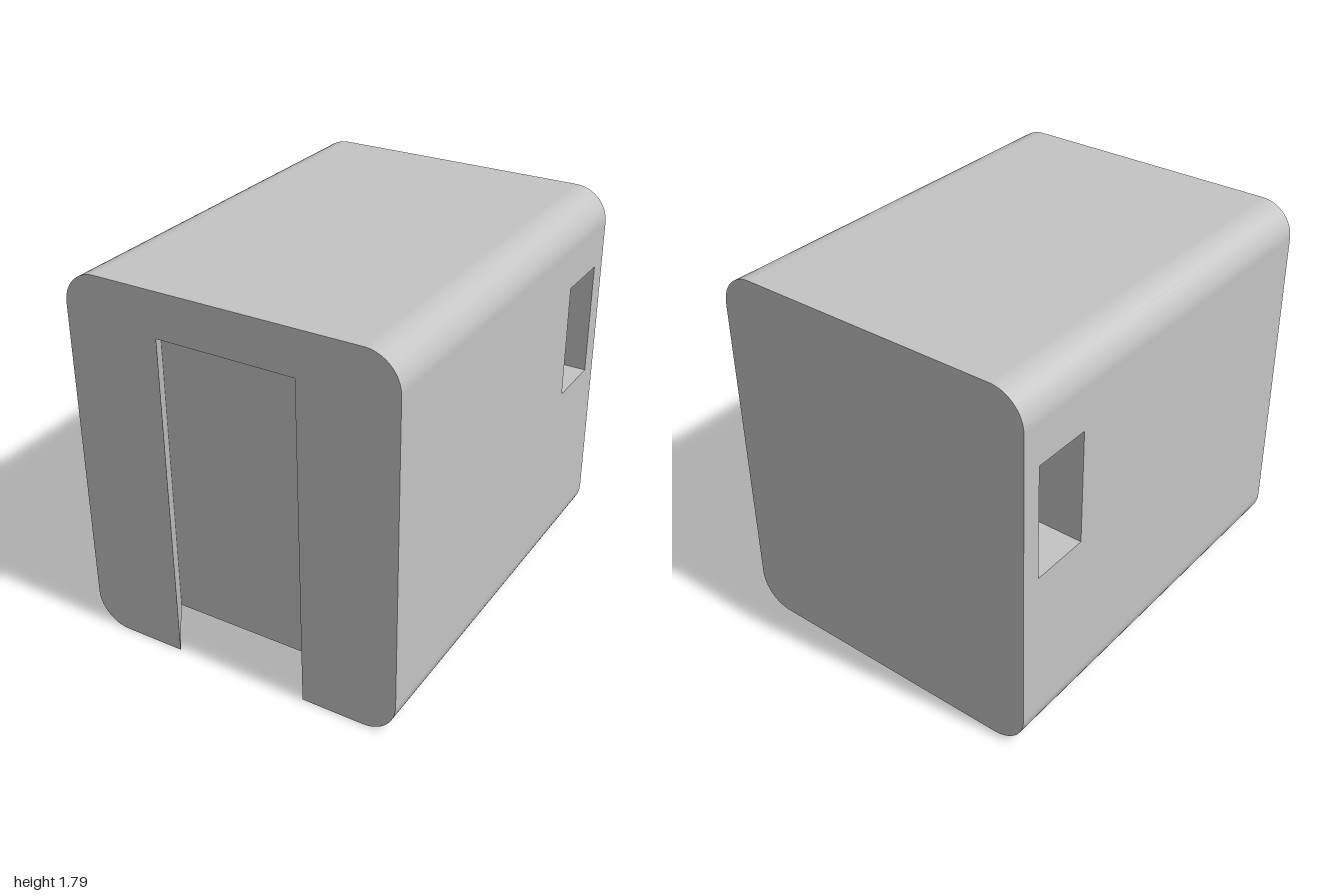
import * as THREE from 'three';

const W = 0.79, H = 1.79, L = 1, R = 0.16;                       // half width, height, half length, corner radius
const SLOT = { mouth: 0.33, inner: 0.53, depth: 0.27, top: 1.58 }; // dovetail slot in the front
const POCKET = { z0: -0.905, z1: -0.615, y0: 0.885, y1: 1.435, depth: 0.3 };

const X = [1, 0, 0], Y = [0, 1, 0], Z = [0, 0, 1];
const neg = (v) => v.map((n) => -n);

const poly = (pts) => new THREE.Shape(pts.map(([x, y]) => new THREE.Vector2(x, y)));
const rect = (x0, y0, x1, y1) => poly([[x0, y0], [x1, y0], [x1, y1], [x0, y1]]);

// End outline with rounded corners, optionally notched by the slot
function endShape(notched) {
  const s = new THREE.Shape();
  s.moveTo(-W + R, 0);
  if (notched) {
    s.lineTo(-SLOT.mouth, 0);
    s.lineTo(-SLOT.mouth, SLOT.top);
    s.lineTo(SLOT.mouth, SLOT.top);
    s.lineTo(SLOT.mouth, 0);
  }
  s.lineTo(W - R, 0);
  s.absarc(W - R, R, R, -Math.PI / 2, 0);
  s.absarc(W - R, H - R, R, 0, Math.PI / 2);
  s.absarc(-W + R, H - R, R, Math.PI / 2, Math.PI);
  s.absarc(-W + R, R, R, Math.PI, Math.PI * 1.5);
  return s;
}

export function createModel() {
  const grey = new THREE.MeshStandardMaterial({ color: 0xc4c4c4 });
  grey.name = 'light grey';
  const model = new THREE.Group();
  model.name = 'slottedBlock';

  // Flat panel spanned by directions u and v, facing u x v
  function panel(name, shape, origin, u, v, parent = model) {
    const a = new THREE.Vector3(...u).normalize();
    const b = new THREE.Vector3(...v).normalize();
    const m = new THREE.Matrix4().makeBasis(a, b, a.clone().cross(b)).setPosition(...origin);
    const mesh = new THREE.Mesh(new THREE.ShapeGeometry(shape, 12).applyMatrix4(m), grey);
    mesh.name = name;
    parent.add(mesh);
  }

  // Ends, top and bottom
  const { mouth, inner, depth, top } = SLOT, zi = L - depth;
  panel('frontFace', endShape(true), [0, 0, L], X, Y);
  panel('backFace', endShape(false), [0, 0, -L], neg(X), Y);
  panel('topFace', rect(-W + R, -L, W - R, L), [0, H, 0], X, neg(Z));
  panel('bottomFace', poly([[-W + R, -L], [W - R, -L], [W - R, L], [mouth, L],
    [inner, zi], [-inner, zi], [-mouth, L], [-W + R, L]]), [0, 0, 0], X, Z);

  // Rounded long edges
  for (let k = 0; k < 4; k++) {
    const geo = new THREE.CylinderGeometry(R, R, 2 * L, 12, 1, true, k * Math.PI / 2, Math.PI / 2);
    const edge = new THREE.Mesh(geo.rotateX(Math.PI / 2), grey);
    edge.position.set(k < 2 ? W - R : -W + R, k === 0 || k === 3 ? R : H - R, 0);
    edge.name = 'roundedEdge';
    model.add(edge);
  }

  // Dovetail slot, wider inside than at its mouth
  const slot = new THREE.Group();
  slot.name = 'dovetailSlot';
  model.add(slot);
  const slant = Math.hypot(inner - mouth, depth);
  panel('slotBack', rect(-inner, 0, inner, top), [0, 0, zi], X, Y, slot);
  panel('slotCeiling', poly([[-inner, zi], [inner, zi], [mouth, L], [-mouth, L]]), [0, top, 0], X, Z, slot);
  panel('slotLeftWall', rect(0, 0, slant, top), [inner, 0, zi], [mouth - inner, 0, depth], Y, slot);
  panel('slotRightWall', rect(0, 0, slant, top), [-mouth, 0, L], [mouth - inner, 0, -depth], Y, slot);

  // Sides, each with a rectangular hand pocket
  for (const s of [1, -1]) {
    const side = s > 0 ? 'left' : 'right';
    const { z0, z1, y0, y1, depth: d } = POCKET;
    const u = [0, 0, -s];
    const ua = Math.min(-s * z0, -s * z1), ub = Math.max(-s * z0, -s * z1);
    const face = rect(-L, R, L, H - R);
    face.holes.push(rect(ua, y0, ub, y1));
    panel(side + 'Side', face, [s * W, 0, 0], u, Y);

    const pocket = new THREE.Group();
    pocket.name = side + 'Pocket';
    model.add(pocket);
    const xa = Math.min(s * W, s * (W - d)), xb = xa + d;
    panel('pocketBack', rect(ua, y0, ub, y1), [s * (W - d), 0, 0], u, Y, pocket);
    panel('pocketFloor', rect(xa, -z1, xb, -z0), [0, y0, 0], X, neg(Z), pocket);
    panel('pocketCeiling', rect(xa, z0, xb, z1), [0, y1, 0], X, Z, pocket);
    panel('pocketRearWall', rect(xa, y0, xb, y1), [0, 0, z0], X, Y, pocket);
    panel('pocketFrontWall', rect(-xb, y0, -xa, y1), [0, 0, z1], neg(X), Y, pocket);
  }
  return model;
}
